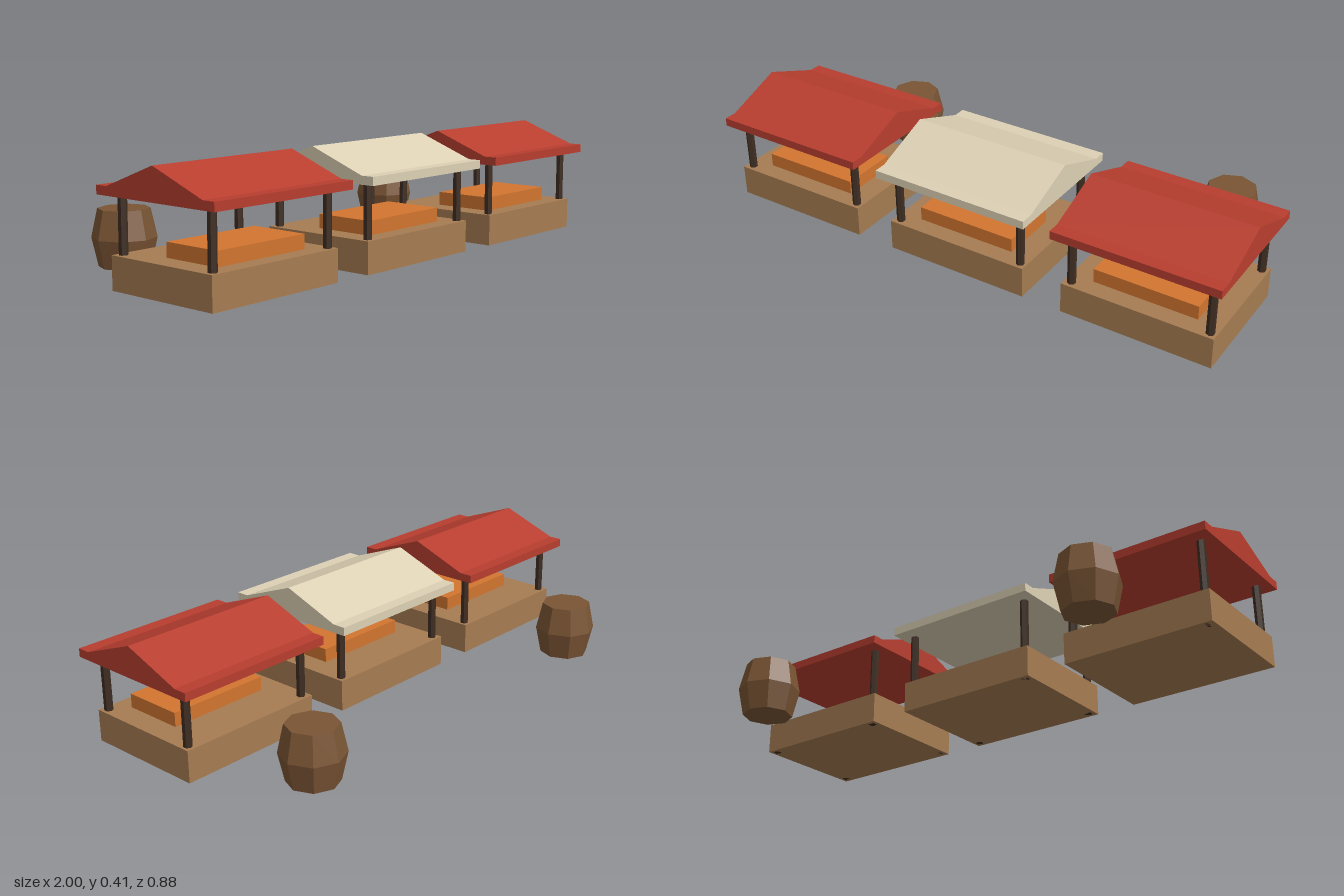
import * as THREE from 'three';

function flat(name, color) {
  const m = new THREE.MeshStandardMaterial({ color });
  m.name = name;
  m.flatShading = true;
  return m;
}

export function createModel() {
  const red = flat('red canopy', 0xb83e2f);
  const cream = flat('cream canopy', 0xddd1b4);
  const wood = flat('light wood', 0xa67c52);
  const post = flat('dark wood', 0x3f2e22);
  const orange = flat('orange produce', 0xd2752f);
  const stave = flat('barrel wood', 0x7a5534);

  const model = new THREE.Group();
  model.name = 'marketStalls';

  const add = (parent, name, geometry, material, x, y, z) => {
    const mesh = new THREE.Mesh(geometry, material);
    mesh.name = name;
    mesh.position.set(x, y, z);
    parent.add(mesh);
    return mesh;
  };

  // Gabled canopy: end profile (z, y) swept along x
  const profile = new THREE.Shape([
    [-0.263, 0], [0.263, 0], [0.263, 0.03], [0.215, 0.03],
    [0, 0.111], [-0.215, 0.03], [-0.263, 0.03],
  ].map(([z, y]) => new THREE.Vector2(z, y)));
  const roofGeo = new THREE.ExtrudeGeometry(profile, { depth: 0.6, bevelEnabled: false });
  roofGeo.rotateY(-Math.PI / 2);
  roofGeo.translate(0.3, 0, 0);

  const counterGeo = new THREE.BoxGeometry(0.55, 0.113, 0.45);
  const goodsGeo = new THREE.BoxGeometry(0.38, 0.05, 0.224);
  const postGeo = new THREE.CylinderGeometry(0.015, 0.015, 0.305, 6);

  // Three stalls in a row
  [[-0.7, red], [0, cream], [0.7, red]].forEach(([x, canopy]) => {
    const stall = new THREE.Group();
    stall.name = 'stall';
    stall.position.set(x, 0, 0.175);
    add(stall, 'counter', counterGeo, wood, -0.002, 0.0565, 0);
    add(stall, 'goods', goodsGeo, orange, -0.002, 0.138, 0.046);
    for (const sx of [-1, 1])
      for (const sz of [-1, 1])
        add(stall, 'post', postGeo, post, sx * 0.25, 0.1525, sz * 0.2);
    add(stall, 'canopy', roofGeo, canopy, 0, 0.302, 0);
    model.add(stall);
  });

  // Eight-sided barrels behind the outer stalls
  const barrelGeo = new THREE.LatheGeometry([
    [0, 0], [0.09, 0], [0.112, 0.1], [0.09, 0.2], [0, 0.2],
  ].map(([r, y]) => new THREE.Vector2(r, y)), 8);
  for (const x of [-0.7, 0.7]) add(model, 'barrel', barrelGeo, stave, x, 0, -0.325);

  return model;
}
